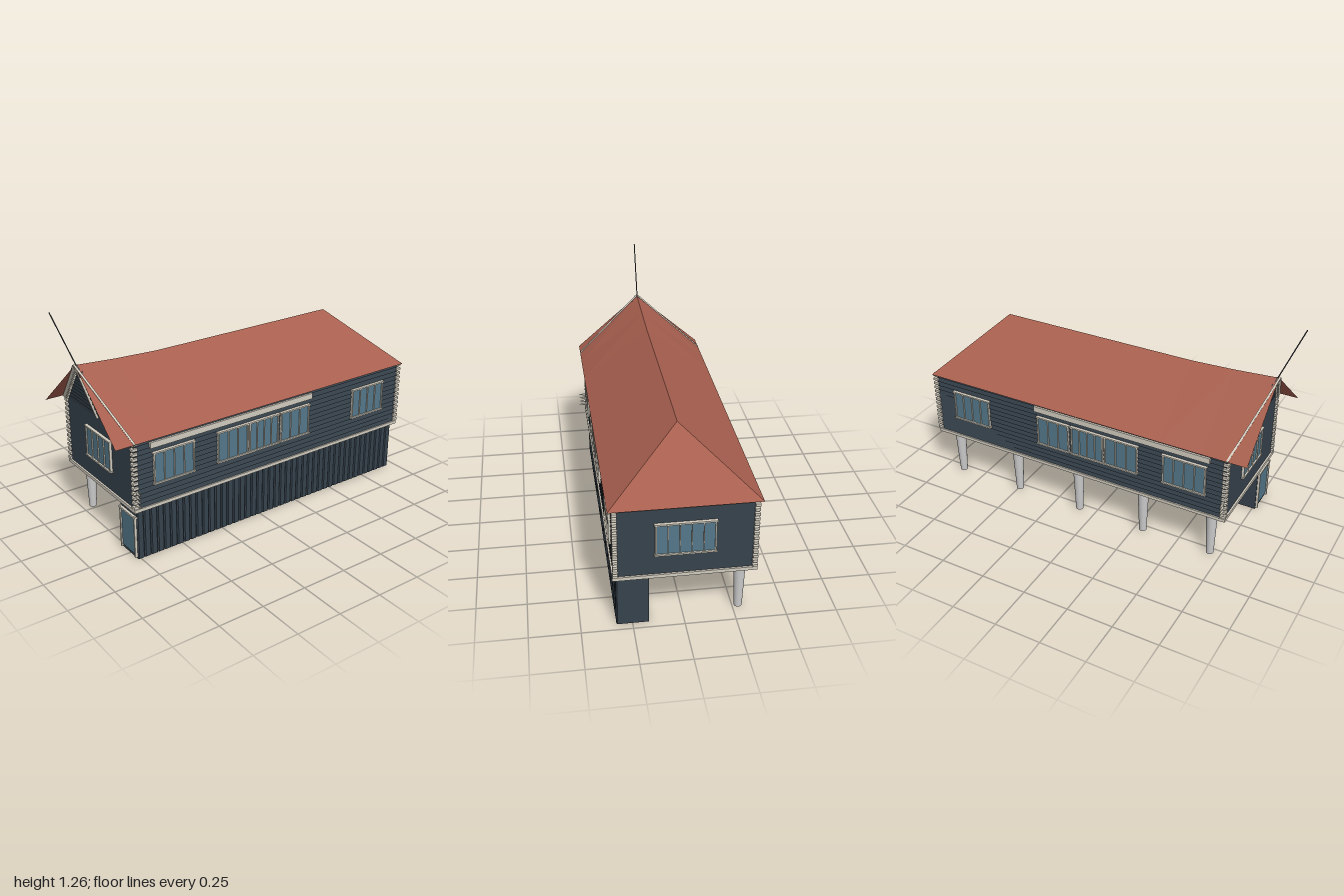
import * as THREE from 'three';

const mat = (color) => new THREE.MeshStandardMaterial({ color, side: THREE.DoubleSide });
const WALL = mat(0x36424c), TRIM = mat(0xd2ccbf), GLASS = mat(0x54788a);
const ROOF = mat(0xa8604f), GREY = mat(0xcccccc), POLE = mat(0x44494d);
ROOF.flatShading = true;

const V2 = (x, y) => new THREE.Vector2(x, y);

function add(parent, name, geometry, material, x = 0, y = 0, z = 0) {
  const m = new THREE.Mesh(geometry, material);
  m.name = name;
  m.position.set(x, y, z);
  parent.add(m);
  return m;
}

const box = (parent, name, material, w, h, d, x, y, z) =>
  add(parent, name, new THREE.BoxGeometry(w, h, d), material, x, y, z);

const extrude = (points, depth) =>
  new THREE.ExtrudeGeometry(new THREE.Shape(points), { depth, bevelEnabled: false });

// Window facing +z, centred on its own origin
function makeWindow(parent, name, w, panes, h = 0.172) {
  const g = new THREE.Group();
  g.name = name;
  parent.add(g);
  box(g, 'glass', GLASS, w, h, 0.008, 0, 0, 0.004);
  for (const s of [-1, 1]) box(g, 'rail', TRIM, w + 0.012, 0.008, 0.018, 0, s * (h / 2 - 0.003), 0.008);
  for (let i = 0; i <= panes; i++) {
    const t = i === 0 || i === panes ? 0.007 : 0.005;
    box(g, 'mullion', TRIM, t, h, 0.014, (i / panes - 0.5) * (w - 0.005), 0, 0.007);
  }
  return g;
}

export function createModel() {
  const house = new THREE.Group();
  house.name = 'house';

  // Upper storey: lapped boards on both long sides, plain ends
  const y0 = 0.29, y1 = 0.656, boards = 14, step = (y1 - y0) / boards;
  const right = [], left = [];
  for (let i = 0; i < boards; i++) {
    right.push(V2(0.338, y0 + i * step), V2(0.331, y0 + (i + 1) * step));
    left.unshift(V2(-0.331, y0 + (i + 1) * step), V2(-0.338, y0 + i * step));
  }
  add(house, 'upperWalls', extrude([...right, ...left], 1.75), WALL, 0, 0, -0.975);

  // Floor slab
  box(house, 'floorSlab', TRIM, 0.69, 0.018, 1.77, 0, 0.284, -0.1);

  // Lower storey: upright battens on the outer side
  const plan = [V2(0.17, 0.765), V2(0.17, -0.96)], slats = 44;
  for (let i = 0; i < slats; i++) {
    const d = 1.725 / slats, z = -0.96 + i * d;
    plan.push(V2(0.322, z), V2(0.328, z + d * 0.15), V2(0.328, z + d * 0.85), V2(0.322, z + d));
  }
  add(house, 'lowerWalls', extrude(plan, 0.276).rotateX(Math.PI / 2), WALL, 0, 0.276, 0);

  // Glazed door
  const door = new THREE.Group();
  door.name = 'door';
  house.add(door);
  box(door, 'doorGlass', GLASS, 0.13, 0.21, 0.008, 0.248, 0.125, 0.767);
  for (const x of [0.18, 0.316]) box(door, 'doorJamb', TRIM, 0.009, 0.235, 0.016, x, 0.126, 0.77);
  box(door, 'doorHead', TRIM, 0.155, 0.01, 0.018, 0.248, 0.237, 0.77);

  // Tapered support columns
  for (let i = 0; i < 5; i++) {
    const z = -0.89 + i * 0.395;
    add(house, 'column', new THREE.CylinderGeometry(0.031, 0.02, 0.276, 20), GREY, -0.28, 0.138, z);
    box(house, 'columnCap', TRIM, 0.1, 0.005, 0.1, -0.28, 0.2735, z);
  }

  // Windows: [centre z, width, panes] on each long side, plus both ends
  const sideWindows = [[0.55, 0.235, 4], [0.192, 0.19, 3], [-0.008, 0.19, 4], [-0.216, 0.192, 3], [-0.741, 0.228, 4]];
  for (const s of [-1, 1]) {
    for (const [z, w, panes] of sideWindows) {
      const win = makeWindow(house, 'sideWindow', w, panes);
      win.position.set(s * 0.334, 0.488, z);
      win.rotation.y = s * Math.PI / 2;
    }
    box(house, 'shadeBox', TRIM, 0.02, 0.032, 1.016, s * 0.338, 0.618, 0.179);
  }
  makeWindow(house, 'frontWindow', 0.245, 4).position.set(0, 0.492, 0.775);
  const back = makeWindow(house, 'backWindow', 0.285, 5);
  back.position.set(0, 0.488, -0.975);
  back.rotation.y = Math.PI;

  // Interlocking board ends at the corners, and carved points at the front
  for (const s of [-1, 1]) {
    for (const z of [-0.978, 0.772])
      for (let i = 0; i < boards; i++)
        box(house, 'cornerStub', TRIM, 0.024, 0.014, 0.03, s * 0.331, y0 + (i + 0.5) * step, z);
    for (let i = 0; i < 4; i++) {
      const spike = add(house, 'cornerPoint', new THREE.ConeGeometry(0.011, 0.05, 4), TRIM, s * 0.357, 0.314 + i * 0.022, 0.765);
      spike.rotation.z = -s * Math.PI / 2;
    }
  }

  // Roof: two slopes with a lifted front ridge, and a hip at the back
  const eave = 0.655;
  const ridge = [[-0.69, 0.94], [0.42, 0.94], [0.65, 0.95], [0.885, 0.967]];
  const edge = [-0.985, 0.42, 0.65, 0.885];
  const tri = [];
  for (const s of [-1, 1]) {
    for (let i = 0; i < 3; i++) {
      const a = [s * 0.362, eave, edge[i]], b = [s * 0.362, eave, edge[i + 1]];
      const c = [0, ridge[i + 1][1], ridge[i + 1][0]], d = [0, ridge[i][1], ridge[i][0]];
      const quad = s > 0 ? [a, c, b, a, d, c] : [a, b, c, a, c, d];
      tri.push(...quad.flat());
    }
  }
  tri.push(0.362, eave, -0.985, -0.362, eave, -0.985, 0, 0.94, -0.69);
  const roofGeo = new THREE.BufferGeometry();
  roofGeo.setAttribute('position', new THREE.Float32BufferAttribute(tri, 3));
  roofGeo.computeVertexNormals();
  add(house, 'roof', roofGeo, ROOF);

  // Front gable, leaning outwards
  const gable = new THREE.Group();
  gable.name = 'gable';
  gable.position.set(0, eave, 0.772);
  gable.rotation.x = Math.atan2(0.108, 0.312);
  house.add(gable);
  const L = 0.33, half = 0.358, rows = 11;
  for (let i = 0; i < rows; i++) {
    const h = L / rows, a = (half - 0.008) * (1 - i / rows), b = (half - 0.008) * (1 - (i + 1) / rows);
    const board = add(gable, 'gableBoard', extrude([V2(-a, 0), V2(a, 0), V2(b, h), V2(-b, h)], 0.005), WALL, 0, i * h, -0.002);
    board.rotation.x = -0.2;
  }
  box(gable, 'gablePost', TRIM, 0.009, L - 0.01, 0.012, 0, L / 2, 0.006);

  // Bargeboards with a toothed lower edge
  const len = Math.hypot(half, L), teeth = 18;
  for (const s of [-1, 1]) {
    const at = (t, d) => V2(s * (half * (1 - t) + (d * L) / len), L * t + (d * half) / len);
    const pts = [at(0, 0.009), at(0.985, 0.009), V2(0, L + 0.009)];
    for (let i = teeth; i > 0; i--) pts.push(at((i - 0.05) / teeth * 0.97, -0.01), at((i - 0.6) / teeth * 0.97, -0.03));
    pts.push(at(0, -0.008));
    add(gable, 'bargeboard', extrude(pts, 0.01), TRIM, 0, 0, 0.003);
  }

  // Slanted pole at the ridge tip
  const from = new THREE.Vector3(0, 0.965, 0.878), to = new THREE.Vector3(0, 1.255, 0.998);
  add(house, 'flagpole', new THREE.TubeGeometry(new THREE.LineCurve3(from, to), 1, 0.003, 8), POLE);

  return house;
}
